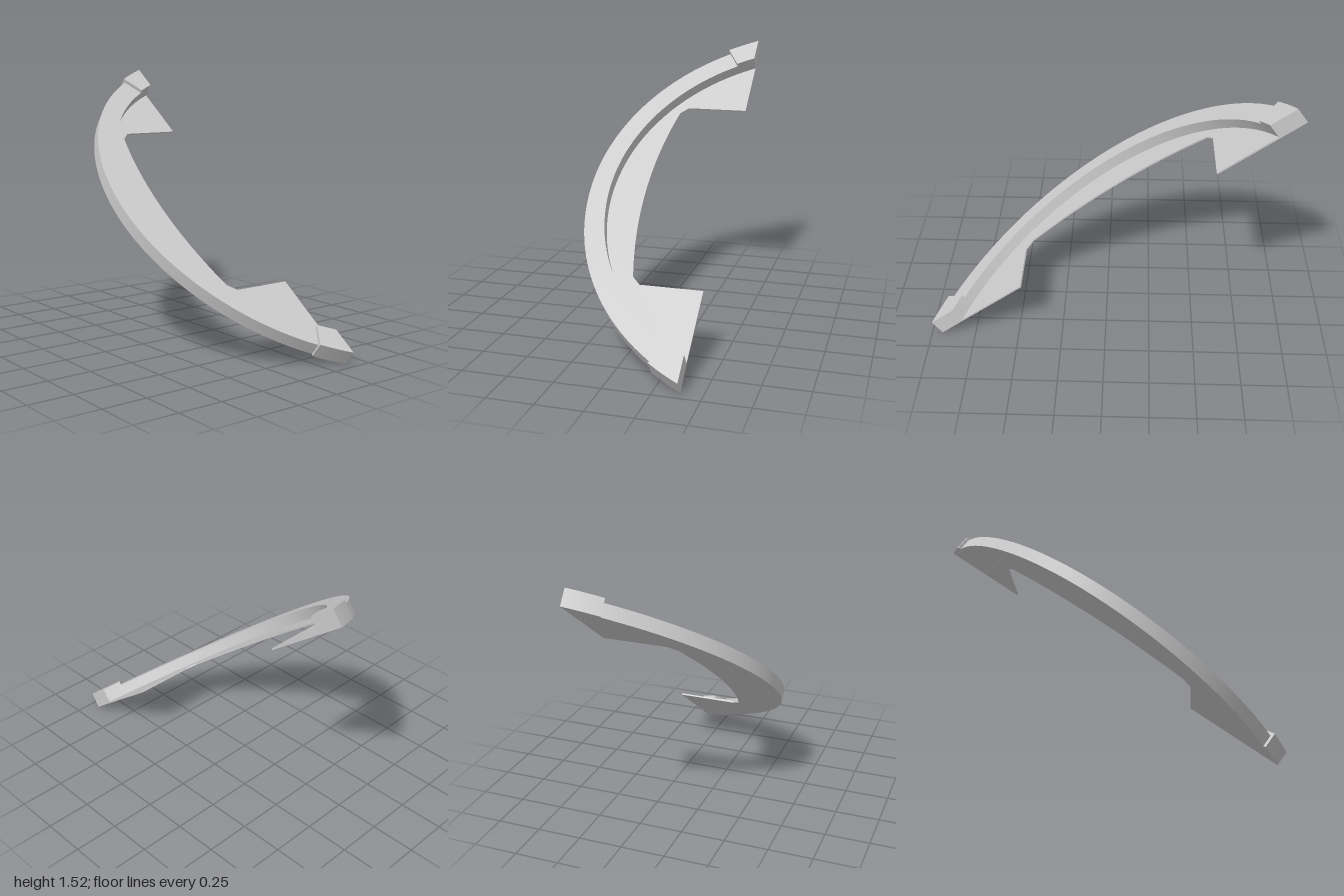
import * as THREE from 'three';
import { toCreasedNormals } from 'three/addons/utils/BufferGeometryUtils.js';

// Points on the front side of a circle (radius r, centre [cx, cy]) from x = a to x = b, relative to cx
function arc(r, cy, a, b, n, cx = 0) {
  const t0 = Math.asin(a / r), t1 = Math.asin(b / r);
  return Array.from({ length: n + 1 }, (_, i) => {
    const t = t0 + (t1 - t0) * i / n;
    return new THREE.Vector2(cx + r * Math.sin(t), cy - r * Math.cos(t));
  });
}

// Flat outline lying in the x/z plane (outline y = -z), raised upwards by height
function slab(name, points, height) {
  const geo = new THREE.ExtrudeGeometry(new THREE.Shape(points), { depth: height, bevelEnabled: false });
  geo.rotateX(-Math.PI / 2);
  const mesh = new THREE.Mesh(toCreasedNormals(geo, 0.4), new THREE.MeshStandardMaterial({ color: 0xcccccc }));
  mesh.name = name;
  return mesh;
}

export function createModel() {
  const model = new THREE.Group();
  model.name = 'curvedRail';
  const INNER = [1.166, 0.895], OUTER = [1.304, 0.92], CLIP = [1.325, 0.929];

  // Curved rail between the two end blocks
  model.add(slab('rail', [
    ...arc(...OUTER, -1.104, 1.104, 64),
    ...arc(...INNER, 0.995, -0.995, 64),
  ], 0.072));

  // Thicker, slightly wider end blocks with radial front faces
  for (const side of [1, -1]) {
    const pts = [
      ...arc(...CLIP, 1.116, 1.208, 8),
      ...arc(...INNER, 1.048, 0.995, 8),
    ].map(p => new THREE.Vector2(p.x * side, p.y));
    model.add(slab(side > 0 ? 'leftEndBlock' : 'rightEndBlock', pts, 0.093));
  }

  // Thin inner plate with a chamfered, bowed cut-out
  const c = -0.031, w = 0.65;
  model.add(slab('innerPlate', [
    ...arc(...INNER, -1.048, 1.048, 64),
    new THREE.Vector2(c + w, 0.384),
    new THREE.Vector2(c + w, 0.037),
    ...arc(2.65, 2.57, 0.605, -0.605, 32, c),
    new THREE.Vector2(c - w, 0.037),
    new THREE.Vector2(c - w, 0.384),
  ], 0.009));

  // The whole piece leans down towards its left end
  model.rotation.z = -THREE.MathUtils.degToRad(36.6);
  model.position.set(-0.028, 0.721, 0);
  const root = new THREE.Group();
  root.add(model);
  return root;
}
